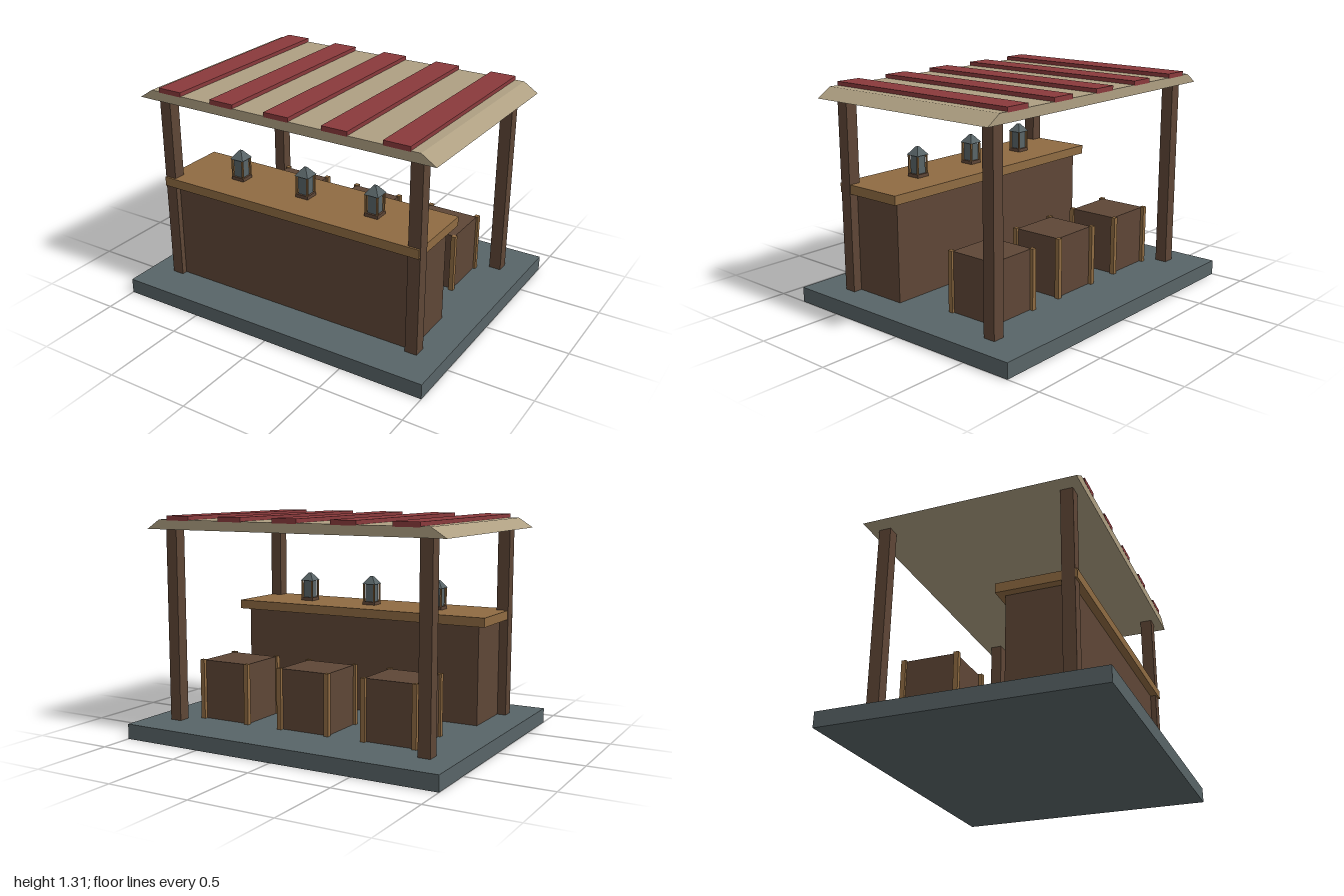
import * as THREE from 'three';

const material = (name, color) => {
  const m = new THREE.MeshStandardMaterial({ color });
  m.name = name;
  return m;
};

export function createModel() {
  const slate = material('slate', 0x586467);
  const darkWood = material('darkWood', 0x5e4636);
  const lightWood = material('lightWood', 0x8f6b42);
  const canvas = material('canvas', 0xae9f82);
  const red = material('red', 0x8a3a3c);

  const stall = new THREE.Group();
  stall.name = 'marketStall';

  const add = (parent, name, geometry, mat) => {
    const mesh = new THREE.Mesh(geometry, mat);
    mesh.name = name;
    parent.add(mesh);
    return mesh;
  };

  // Box given by its [min, max] extents on each axis
  const box = (parent, name, mat, [x0, x1], [y0, y1], [z0, z1]) => {
    const mesh = add(parent, name, new THREE.BoxGeometry(x1 - x0, y1 - y0, z1 - z0), mat);
    mesh.position.set((x0 + x1) / 2, (y0 + y1) / 2, (z0 + z1) / 2);
    return mesh;
  };

  // Four square uprights at the corners of a rectangle
  const corners = (parent, name, mat, x, z, width, y) => {
    const h = width / 2;
    for (const sx of [-1, 1]) for (const sz of [-1, 1]) {
      box(parent, name, mat, [sx * x - h, sx * x + h], y, [sz * z - h, sz * z + h]);
    }
  };

  // Floor and roof posts
  box(stall, 'floorSlab', slate, [-1, 1], [0, 0.09], [-0.8, 0.8]);
  corners(stall, 'roofPost', darkWood, 0.817, 0.547, 0.073, [0.09, 1.235]);

  // Counter
  box(stall, 'counterBody', darkWood, [-0.8, 0.8], [0.09, 0.68], [0.18, 0.55]);
  box(stall, 'counterTop', lightWood, [-0.85, 0.85], [0.68, 0.735], [0.14, 0.595]);

  // Awning: a flat prism with sloping ends
  const profile = new THREE.Shape([
    new THREE.Vector2(-0.95, 1.23), new THREE.Vector2(0.95, 1.23),
    new THREE.Vector2(0.862, 1.287), new THREE.Vector2(-0.862, 1.287),
  ]);
  const awning = new THREE.ExtrudeGeometry(profile, { depth: 1.27, bevelEnabled: false });
  awning.translate(0, 0, -0.635);
  add(stall, 'awning', awning, canvas);
  for (let i = -2; i <= 2; i++) {
    const x = i * 0.364;
    box(stall, 'awningStripe', red, [x - 0.078, x + 0.078], [1.282, 1.31], [-0.636, 0.636]);
  }

  // Crates behind the counter
  for (const x of [-0.545, 0, 0.545]) {
    const crate = new THREE.Group();
    crate.name = 'crate';
    crate.position.set(x, 0.09, -0.295);
    box(crate, 'crateBody', darkWood, [-0.157, 0.157], [0, 0.355], [-0.15, 0.15]);
    corners(crate, 'cratePost', lightWood, 0.157, 0.157, 0.028, [0, 0.359]);
    stall.add(crate);
  }

  // Lanterns on the counter
  for (const x of [-0.455, 0, 0.455]) {
    const lantern = new THREE.Group();
    lantern.name = 'lantern';
    lantern.position.set(x, 0.735, 0.367);
    box(lantern, 'lanternBase', darkWood, [-0.042, 0.042], [0, 0.02], [-0.042, 0.042]);
    box(lantern, 'lanternCore', slate, [-0.03, 0.03], [0.02, 0.132], [-0.03, 0.03]);
    corners(lantern, 'lanternPost', lightWood, 0.036, 0.036, 0.01, [0.02, 0.132]);
    const cap = new THREE.CylinderGeometry(0.008 * Math.SQRT2, 0.045 * Math.SQRT2, 0.048, 4, 1)
      .rotateY(Math.PI / 4).toNonIndexed();
    cap.computeVertexNormals();
    add(lantern, 'lanternCap', cap, slate).position.y = 0.154;
    stall.add(lantern);
  }

  return stall;
}
